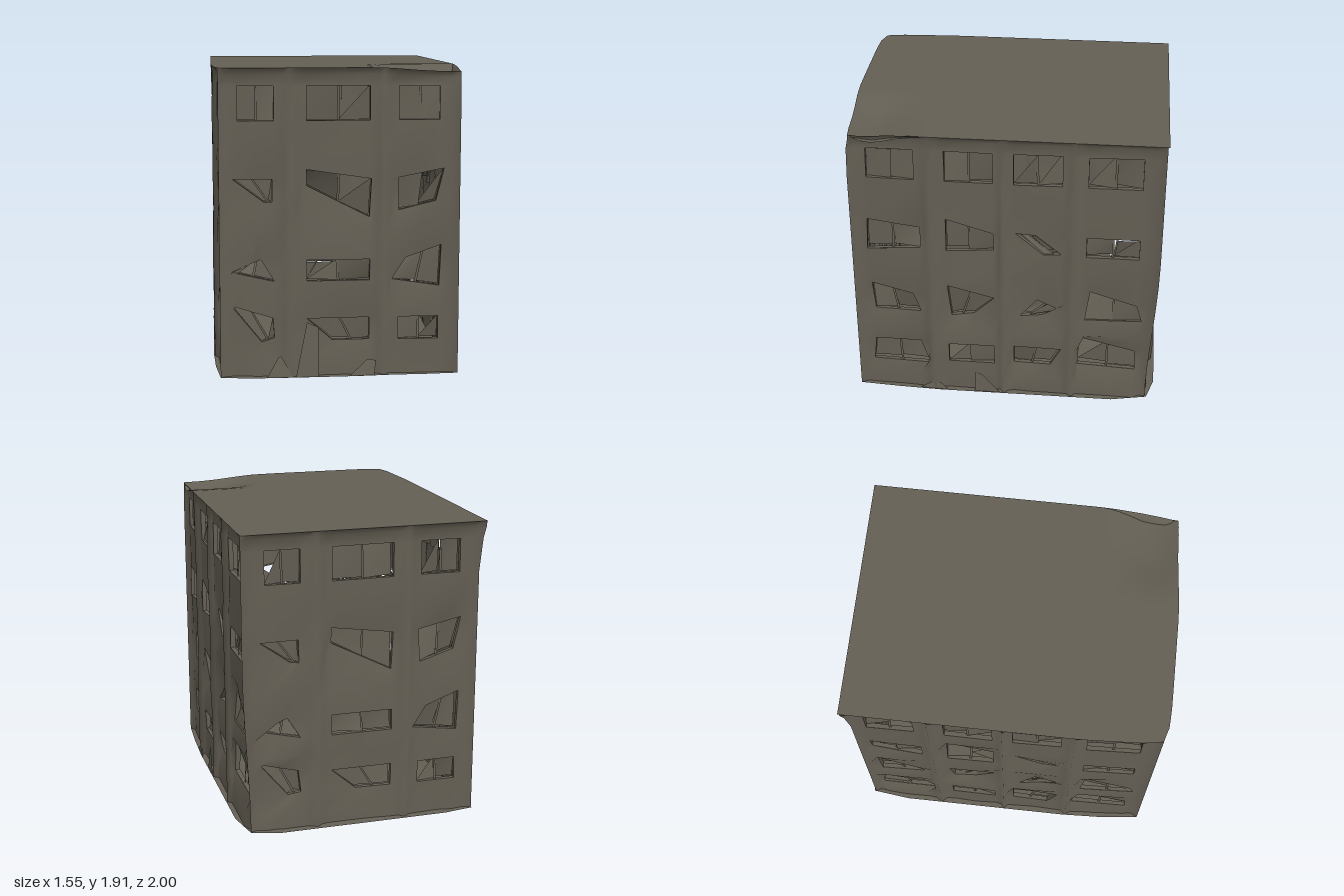
import * as THREE from 'three';

const concrete = new THREE.MeshStandardMaterial({ color: 0x645f54, side: THREE.DoubleSide });
concrete.name = 'weathered concrete';

let seed = 7;
const rnd = () => (seed = (seed * 16807) % 2147483647) / 2147483647;
const step = THREE.MathUtils.smoothstep;
const lerp = THREE.MathUtils.lerp;

const TOP = 1.92;
const ROWS = [[0.23, 0.37], [0.61, 0.74], [1.1, 1.24], [1.6, 1.81]];

// How far each vertical corner is pushed in at height y
function cornerLoss(x, y, z) {
  if (z > 0) return x > 0 ? 0.01 : 0.02;
  if (x > 0) return 0.05 * (1 - step(y, 0, 1.1));
  return 0.03 * (1 - step(y, 1.7, TOP));
}

// Tapered, slightly bellied front and worn corners, shared by every part
function warp([x, y, z]) {
  const corner = step(x, 0.2, 0.65) * step(z, 0.6, 0.95) * step(y, 1.75, TOP);
  const side = step(Math.abs(x), 0.64, 0.775);
  const worn = side * step(Math.abs(z), 0.84, 0.985) * cornerLoss(x, y, z);
  const taper = 0.02 * side * step(z, 0.4, 0.95);
  const belly = 0.015 * step(z, 0.8, 0.95) * (1 - step(Math.abs(x + 0.22), 0.25, 0.6));
  return [x - Math.sign(x) * (taper + worn), y - 0.025 * corner, z - 0.02 * corner + belly - Math.sign(z) * worn];
}

function meshFrom(points, index, name) {
  const g = new THREE.BufferGeometry();
  g.setAttribute('position', new THREE.Float32BufferAttribute(points.map(warp).flat(), 3));
  g.setIndex(index);
  g.computeVertexNormals();
  const mesh = new THREE.Mesh(g, concrete);
  mesh.name = name;
  return mesh;
}

// Buckled openings, keyed by column and storey: corners from bottom left, anticlockwise
const shortBent = {
  '0,0': [[-0.48, 0.23], [-0.4, 0.25], [-0.41, 0.38], [-0.67, 0.46]],
  '1,0': [[-0.04, 0.23], [0.19, 0.23], [0.19, 0.37], [-0.2, 0.37]],
  '0,1': [[-0.66, 0.67], [-0.4, 0.61], [-0.48, 0.74], [-0.54, 0.72]],
  '2,1': [[0.33, 0.61], [0.63, 0.56], [0.64, 0.82], [0.42, 0.74]],
  '0,2': [[-0.46, 1.1], [-0.41, 1.1], [-0.41, 1.24], [-0.65, 1.24]],
  '1,2': [[-0.2, 1.2], [0.19, 1.0], [0.2, 1.24], [-0.2, 1.3]],
  '2,2': [[0.37, 1.04], [0.6, 1.1], [0.65, 1.3], [0.37, 1.24]],
};
const longBent = {
  '0,0': [[-0.88, 0.2], [-0.5, 0.2], [-0.56, 0.37], [-0.86, 0.37]],
  '2,0': [[0.06, 0.23], [0.3, 0.23], [0.37, 0.37], [0.06, 0.37]],
  '3,0': [[0.48, 0.25], [0.86, 0.22], [0.85, 0.37], [0.49, 0.46]],
  '0,1': [[-0.85, 0.61], [-0.55, 0.61], [-0.6, 0.74], [-0.87, 0.8]],
  '1,1': [[-0.35, 0.58], [-0.2, 0.61], [-0.07, 0.74], [-0.37, 0.83]],
  '2,1': [[0.1, 0.62], [0.24, 0.62], [0.36, 0.67], [0.21, 0.74]],
  '3,1': [[0.52, 0.61], [0.89, 0.61], [0.85, 0.74], [0.55, 0.82]],
  '0,2': [[-0.88, 1.08], [-0.54, 1.1], [-0.54, 1.24], [-0.87, 1.3]],
  '1,2': [[-0.37, 1.1], [-0.07, 1.1], [-0.07, 1.24], [-0.37, 1.33]],
  '2,2': [[0.25, 1.1], [0.36, 1.1], [0.2, 1.24], [0.07, 1.24]],
};

const shortWall = { cols: [[-0.62, -0.4], [-0.2, 0.19], [0.37, 0.62]], end: 0.775, depth: 0.95, rib: 0.985, bent: shortBent };
const longWall = { cols: [[-0.86, -0.56], [-0.37, -0.07], [0.06, 0.36], [0.52, 0.85]], end: 0.985, depth: 0.745, rib: 0.775, bent: longBent };

function buildWall(name, { cols, end, depth, rib, bent }, place) {
  const group = new THREE.Group();
  group.name = name;

  // Grid lines: edges, window sides and centres, and a raised rib in each gap
  const us = [], bulge = [];
  const line = (u, b) => { us.push(u); bulge.push(b); };
  line(-end, 1); line(lerp(-end, cols[0][0], 0.4), 0.1);
  cols.forEach(([a, b], k) => {
    line(a, 0); line((a + b) / 2, 0); line(b, 0);
    const next = cols[k + 1];
    if (next) [[0.3, 0.1], [0.5, 1], [0.7, 0.1]].forEach(([t, h]) => line(lerp(b, next[0], t), h));
  });
  line(lerp(end, cols[cols.length - 1][1], 0.4), 0.1); line(end, 1);
  const vs = [0.01, 0.12];
  ROWS.forEach(([a, b], r) => vs.push(a, b, r < 3 ? (b + ROWS[r + 1][0]) / 2 : 1.88));
  vs.push(TOP);

  const nu = us.length, nv = vs.length;
  const pts = [];
  for (let j = 0; j < nv; j++) for (let i = 0; i < nu; i++) {
    const edge = i === 0 || i === nu - 1 || j === nv - 1;
    const b = j === nv - 1 ? 1 : bulge[i];
    pts.push([us[i], vs[j], lerp(depth, rib, b) - (edge ? 0 : 0.01 * rnd())]);
  }

  // Openings with reveals, tilted panes and a leaning mullion
  const skip = new Set(), paneP = [], paneI = [], jambP = [], jambI = [];
  const quad = (P, I, q) => {
    const n = P.length;
    P.push(...q.map(place));
    I.push(n, n + 1, n + 2);
    if (q.length > 3) I.push(n, n + 2, n + 3);
  };
  const back = (p, d) => [p[0], p[1], p[2] - d];
  const mid = (a, b) => a.map((s, n) => (s + b[n]) / 2);
  cols.forEach((col, k) => ROWS.forEach((row, r) => {
    const i = 2 + 6 * k, j = 2 + 3 * r;
    const custom = bent[k + ',' + r];
    const ids = [j * nu + i, j * nu + i + 2, (j + 1) * nu + i + 2, (j + 1) * nu + i];
    if (custom) custom.forEach(([u, v], c) => {
      pts[ids[c]] = [u, v, depth - 0.04 * rnd()];
    });
    const [bl, br, tr, tl] = ids.map(n => pts[n]);
    const mb = pts[ids[0] + 1] = mid(bl, br), mt = pts[ids[3] + 1] = mid(tl, tr);
    skip.add(j * nu + i).add(j * nu + i + 1);
    const ring = [bl, br, tr, tl];
    ring.forEach((p, c) => {
      const q = ring[(c + 1) % 4];
      quad(jambP, jambI, [p, q, back(q, 0.03), back(p, 0.03)]);
    });
    [[bl, mb, mt, tl], [mb, br, tr, mt]].forEach(half => {
      const shard = half.map(p => back(p, 0.01 + 0.06 * rnd()));
      quad(paneP, paneI, rnd() < 0.15 ? shard.slice(0, 3) : shard);
    });
    const lean = 0.02 * (rnd() - 0.5);
    quad(paneP, paneI, [[mb[0] - 0.008, mb[1], mb[2] - 0.015], [mb[0] + 0.008, mb[1], mb[2] - 0.015],
      [mt[0] + 0.008 + lean, mt[1], mt[2] - 0.02], [mt[0] - 0.006 + lean, mt[1], mt[2] - 0.02]]);
  }));

  const index = [];
  for (let j = 0; j < nv - 1; j++) for (let i = 0; i < nu - 1; i++) {
    const a = j * nu + i;
    if (!skip.has(a)) index.push(a, a + 1, a + nu + 1, a, a + nu + 1, a + nu);
  }
  group.add(meshFrom(pts.map(place), index, 'wallSurface'));
  group.add(meshFrom(jambP, jambI, 'windowReveals'));
  group.add(meshFrom(paneP, paneI, 'brokenPanes'));
  return group;
}

// Horizontal sheet used for the roof and the crumpled underside
function buildSheet(name, n, height, faceUp) {
  const pts = [], index = [];
  for (let j = 0; j <= n; j++) for (let i = 0; i <= n; i++) {
    const rim = i === 0 || j === 0 || i === n || j === n;
    const x = lerp(-0.775, 0.775, i / n), z = lerp(-0.995, 0.985, j / n);
    pts.push([x, height(x, z, rim), z]);
    if (i < n && j < n) {
      const a = j * (n + 1) + i, b = a + 1, c = a + n + 1, d = c + 1;
      index.push(...(faceUp ? [a, c, b, b, c, d] : [a, b, c, b, d, c]));
    }
  }
  return meshFrom(pts, index, name);
}

// Roof dips behind the front parapet on one corner
const roofHeight = (x, z) =>
  TOP - 0.05 * step(x, 0.15, 0.5) * step(z, 0.45, 0.86) * (1 - step(z, 0.86, 0.98));

export function createModel() {
  const model = new THREE.Group();
  model.name = 'derelictBuilding';
  model.add(
    buildWall('frontWall', shortWall, ([u, v, d]) => [u, v, d]),
    buildWall('rightSideWall', longWall, ([u, v, d]) => [d, v, -u]),
    buildWall('backWall', shortWall, ([u, v, d]) => [-u, v, -d]),
    buildWall('leftSideWall', longWall, ([u, v, d]) => [-d, v, u]),
    buildSheet('roof', 24, roofHeight, true),
    buildSheet('underside', 7, (x, z, rim) => (rim ? 0.01 : 0.01 + 0.04 * rnd()), false),
  );

  // Loose slabs leaning at the foot of the walls
  const slabs = [
    [[-0.27, 0.01, 0.98], [-0.13, 0.01, 0.985], [-0.13, 0.32, 0.955], [-0.2, 0.35, 0.95]],
    [[-0.45, 0.01, 0.985], [-0.29, 0.01, 0.98], [-0.36, 0.14, 0.96], [-0.38, 0.13, 0.955]],
    [[0.06, 0.01, 0.985], [0.22, 0.01, 0.975], [0.23, 0.1, 0.96], [0.18, 0.11, 0.955]],
    [[0.765, 0.01, 0.57], [0.77, 0.01, 0.38], [0.76, 0.05, 0.42], [0.755, 0.07, 0.47]],
    [[0.765, 0.01, 0.2], [0.77, 0.01, 0.03], [0.755, 0.14, 0.15], [0.75, 0.16, 0.2]],
  ];
  slabs.forEach(s => model.add(meshFrom(s, [0, 1, 2, 0, 2, 3], 'looseSlab')));
  return model;
}
